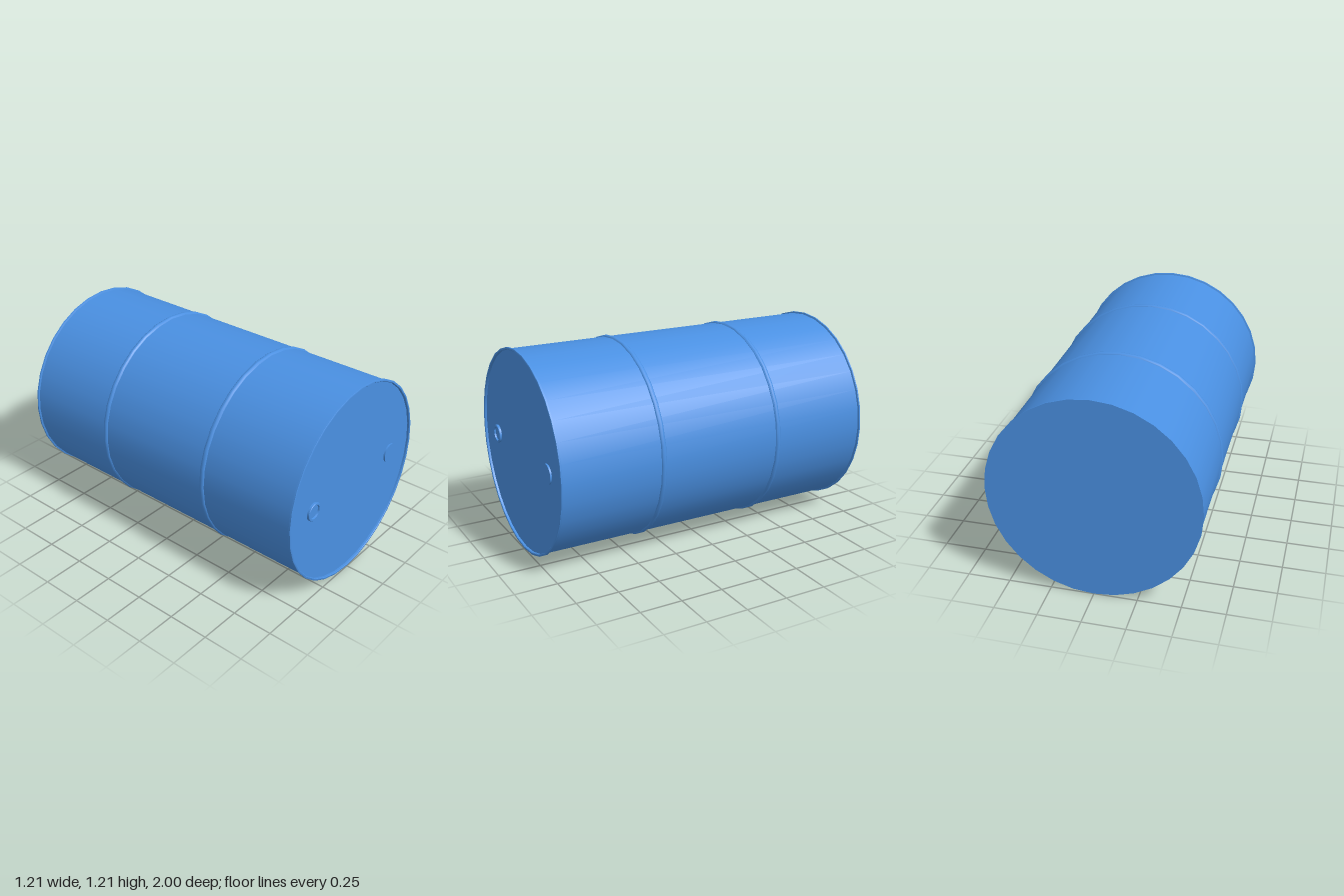
import * as THREE from 'three';
import { toCreasedNormals } from 'three/addons/utils/BufferGeometryUtils.js';

const SIDES = 32;
const R_BODY = 0.597; // shell radius
const R_RIM = 0.607; // rims and rolling hoops
const LID_Z = 0.985; // recessed front lid

const blue = new THREE.MeshStandardMaterial({ color: 0x4a90e2 });

// Revolve a [radius, z] profile about the z axis, keeping hard edges sharp.
function turned(name, profile, sides = SIDES) {
  const points = profile.map(([r, z]) => new THREE.Vector2(r, z));
  const geometry = new THREE.LatheGeometry(points, sides).rotateX(Math.PI / 2);
  const mesh = new THREE.Mesh(toCreasedNormals(geometry, 0.7), blue);
  mesh.name = name;
  return mesh;
}

export function createModel() {
  const drum = new THREE.Group();
  drum.name = 'drum';
  drum.position.y = R_RIM;

  // Cylindrical shell lying along z
  drum.add(turned('shell', [[R_BODY, -0.995], [R_BODY, 0.99]]));

  // Flat back end with its flange
  drum.add(turned('backEnd', [
    [0, -1], [R_RIM, -1], [R_RIM, -0.992], [R_BODY, -0.988],
  ]));

  // Raised front rim and the lid set inside it
  drum.add(turned('frontRim', [
    [R_BODY, 0.986], [R_RIM, 0.989], [R_RIM, 0.998], [0.604, 1],
    [0.596, 1], [0.593, 0.997], [0.593, LID_Z],
  ]));
  drum.add(turned('frontLid', [[0.593, LID_Z], [0, LID_Z]]));

  // Two rounded rolling hoops
  for (const z of [-0.387, 0.379]) {
    const profile = [];
    for (let i = 0; i <= 6; i++) {
      const a = -Math.PI / 2 + (i / 6) * Math.PI;
      profile.push([R_BODY - 0.001 + 0.011 * Math.cos(a), z + 0.016 * Math.sin(a)]);
    }
    drum.add(turned('rollingHoop', profile));
  }

  // Large closed plug
  const plug = turned('plug', [
    [0.058, LID_Z - 0.002], [0.058, 0.995], [0, 0.995],
  ]);
  plug.position.x = 0.39;
  drum.add(plug);

  // Small spout: a bevelled collar around a sunken cap
  const spout = turned('spout', [
    [0.055, LID_Z - 0.002], [0.055, 0.997], [0.052, 1],
    [0.042, 1], [0.04, 0.99], [0, 0.99],
  ]);
  spout.position.x = -0.38;
  drum.add(spout);

  const model = new THREE.Group();
  model.name = 'barrel';
  model.add(drum);
  return model;
}
